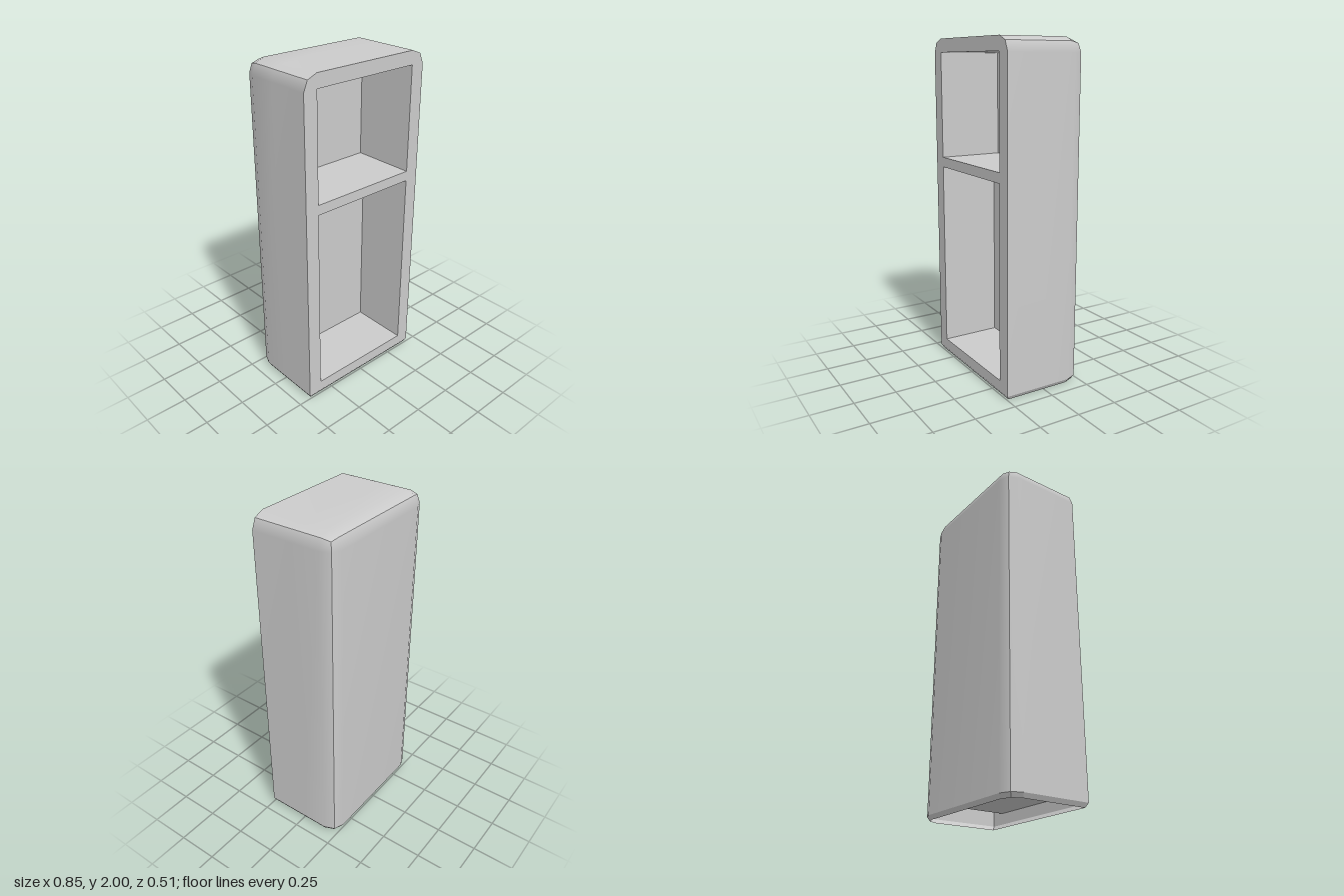
import * as THREE from 'three';

const HX = 0.425, HZ = 0.253, TOP = 2, R = 0.085; // half width, half depth, height, bevel radius
const LIP = 0.025; // height of the chamfer around the foot
const M = R * Math.SQRT1_2; // middle point of the two-step bevel
const material = new THREE.MeshStandardMaterial({ color: 0xcccccc, side: THREE.DoubleSide });

// box faces in group order: 0 +x, 1 -x, 2 +y, 3 -y, 4 +z, 5 -z
function dropFaces(geometry, faces) {
  const index = Array.from(geometry.index.array);
  const kept = geometry.groups
    .filter((g, i) => !faces.includes(i))
    .flatMap((g) => index.slice(g.start, g.start + g.count));
  geometry.setIndex(kept);
  geometry.clearGroups();
  return geometry;
}

function addMesh(group, name, geometry) {
  const mesh = new THREE.Mesh(geometry, material);
  mesh.name = name;
  group.add(mesh);
}

// Outer shell: a gridded box whose top, side and back edges are rounded in two steps
function shellGeometry() {
  const g = dropFaces(new THREE.BoxGeometry(3, 2, 3, 3, 2, 3), [3, 4]);
  const p = g.attributes.position;
  const xs = [-HX + R, -HX + R, HX - R, HX - R];
  const ys = [LIP, TOP - R, TOP - R];
  const zs = [-HZ + R, -HZ + R, 0, HZ];
  const d = new THREE.Vector3();
  for (let n = 0; n < p.count; n++) {
    const i = Math.round(p.getX(n) + 1.5);
    const j = Math.round(p.getY(n) + 1);
    const k = Math.round(p.getZ(n) + 1.5);
    d.set(i === 0 ? -1 : i === 3 ? 1 : 0, j === 2 ? 1 : 0, k === 0 ? -1 : 0);
    d.normalize().multiplyScalar(R);
    p.setXYZ(n, xs[i] + d.x, ys[j] + d.y, zs[k] + d.z);
  }
  g.computeVertexNormals();
  return g;
}

// Chamfered strip around the open foot
function footGeometry() {
  const half = [[HX, HZ], [HX, -HZ + R], [HX - R + M, -HZ + R - M], [HX - R, -HZ]];
  const loop = [...half, ...half.map(([x, z]) => [-x, z]).reverse()];
  const inset = 0.015;
  const at = ([x, z], low) => low
    ? [x * (1 - inset / HX), 0, z * (1 - inset / HZ)]
    : [x, LIP, z];
  const v = [];
  loop.forEach((a, i) => {
    const b = loop[(i + 1) % loop.length];
    v.push(...at(a, true), ...at(b, true), ...at(b, false));
    v.push(...at(a, true), ...at(b, false), ...at(a, false));
  });
  const g = new THREE.BufferGeometry();
  g.setAttribute('position', new THREE.Float32BufferAttribute(v, 3));
  g.computeVertexNormals();
  return g;
}

// Front frame with one hole per compartment
function frameGeometry(compartments) {
  const right = [[HX, LIP], [HX, TOP - R], [HX - R + M, TOP - R + M], [HX - R, TOP]];
  const outline = [...right, ...right.map(([x, y]) => [-x, y]).reverse()];
  const shape = new THREE.Shape(outline.map(([x, y]) => new THREE.Vector2(x, y)));
  for (const { w, y0, y1 } of compartments) {
    shape.holes.push(new THREE.Path(
      [[-w, y0], [-w, y1], [w, y1], [w, y0]].map(([x, y]) => new THREE.Vector2(x, y))
    ));
  }
  return new THREE.ShapeGeometry(shape).translate(0, 0, HZ);
}

// Thin recess, open to the front
function recessGeometry({ w, y0, y1, back }) {
  const g = new THREE.BoxGeometry(2 * w, y1 - y0, HZ - back);
  return dropFaces(g, [4]).translate(0, (y0 + y1) / 2, (HZ + back) / 2);
}

export function createModel() {
  const model = new THREE.Group();
  model.name = 'cabinet';
  const compartments = [
    { name: 'lowerCompartment', w: 0.34, y0: 0.09, y1: 1.23, back: -0.11 },
    { name: 'upperCompartment', w: 0.34, y0: 1.29, y1: 1.92, back: -0.14 },
  ];
  addMesh(model, 'outerShell', shellGeometry());
  addMesh(model, 'footChamfer', footGeometry());
  addMesh(model, 'frontFrame', frameGeometry(compartments));
  for (const c of compartments) addMesh(model, c.name, recessGeometry(c));
  return model;
}
